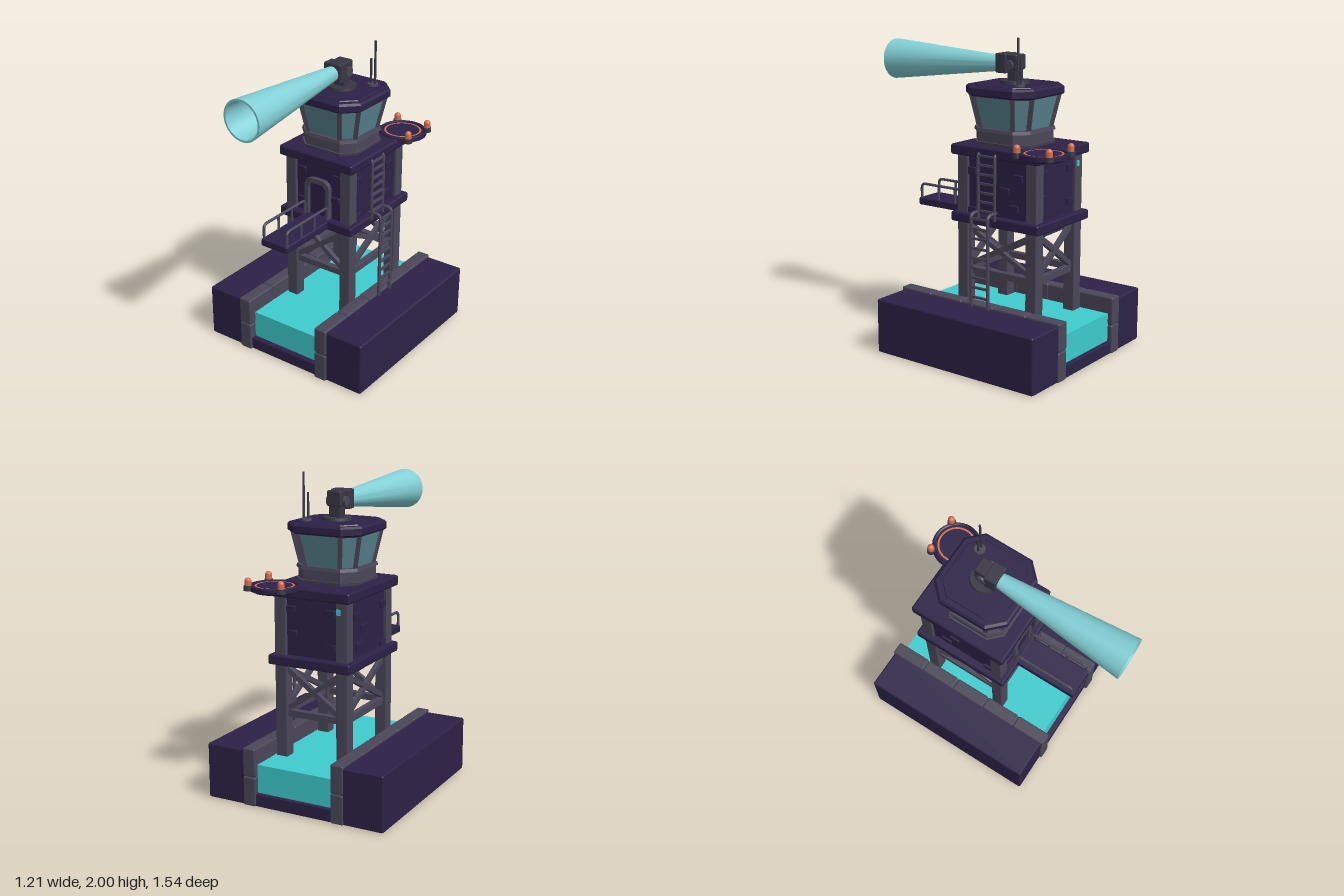
import * as THREE from 'three';
import { toCreasedNormals } from 'three/addons/utils/BufferGeometryUtils.js';
import { RoundedBoxGeometry } from 'three/addons/geometries/RoundedBoxGeometry.js';

const mat = (name, color) => Object.assign(new THREE.MeshStandardMaterial({ color }), { name });

export function createModel() {
  const purple = mat('dark purple', 0x2d2147), grey = mat('slate grey', 0x4b4759);
  const water = mat('water turquoise', 0x3ecccd), beam = mat('pale teal', 0x82d0d6);
  const glass = mat('window glass', 0x5a8692), orange = mat('lamp orange', 0xd4704f);
  const dark = mat('dark metal', 0x393644), under = mat('underside grey', 0x3a3a40);
  const root = new THREE.Group();
  root.name = 'waterTower';

  const add = (name, geo, m, x = 0, y = 0, z = 0) => {
    const mesh = new THREE.Mesh(geo, m);
    mesh.name = name;
    mesh.position.set(x, y, z);
    root.add(mesh);
    return mesh;
  };
  // bevelled box given by its extents
  const box = (name, m, x0, x1, y0, y1, z0, z1, r = 0.008) => add(name,
    r ? new RoundedBoxGeometry(x1 - x0, y1 - y0, z1 - z0, 1, r) : new THREE.BoxGeometry(x1 - x0, y1 - y0, z1 - z0),
    m, (x0 + x1) / 2, (y0 + y1) / 2, (z0 + z1) / 2);
  const cyl = (name, m, r0, r1, y0, y1, x, z, n = 24) =>
    add(name, new THREE.CylinderGeometry(r1, r0, y1 - y0, n), m, x, (y0 + y1) / 2, z);
  // straight beam between two points
  const bar = (name, m, a, b, w, d = w) => {
    const A = new THREE.Vector3(...a), B = new THREE.Vector3(...b), dir = B.clone().sub(A);
    const mesh = add(name, new THREE.BoxGeometry(w, dir.length(), d), m);
    mesh.position.copy(A).add(B).multiplyScalar(0.5);
    mesh.quaternion.setFromUnitVectors(new THREE.Vector3(0, 1, 0), dir.normalize());
    return mesh;
  };
  const tube = (name, m, pts, r) => {
    const path = new THREE.CurvePath();
    const v = pts.map(p => new THREE.Vector3(...p));
    let last = v[0];
    for (let i = 1; i < v.length - 1; i++) { // rounded corners
      const a = v[i].clone().add(v[i - 1].clone().sub(v[i]).setLength(0.03));
      const b = v[i].clone().add(v[i + 1].clone().sub(v[i]).setLength(0.03));
      path.add(new THREE.LineCurve3(last, a));
      path.add(new THREE.QuadraticBezierCurve3(a, v[i], b));
      last = b;
    }
    path.add(new THREE.LineCurve3(last, v[v.length - 1]));
    return add(name, new THREE.TubeGeometry(path, 48, r, 8), m);
  };
  // chamfered square cross-section, ordered counter-clockwise seen from above
  const octagon = (h, c, y) => {
    const k = h - c;
    return [[k, h], [h, k], [h, -k], [k, -h], [-k, -h], [-h, -k], [-h, k], [-k, h]].map(([x, z]) => [x, y, z]);
  };
  // stack of [y, half width, chamfer] sections with caps
  const loft = (name, m, sections, z) => {
    const pos = [], rings = sections.map(([y, h, c]) => octagon(h, c, y));
    const tri = (...p) => p.forEach(q => pos.push(...q));
    for (let s = 0; s < rings.length - 1; s++) for (let i = 0; i < 8; i++) {
      const j = (i + 1) % 8, A = rings[s], B = rings[s + 1];
      tri(A[i], A[j], B[j]);
      tri(A[i], B[j], B[i]);
    }
    const lo = rings[0], hi = rings[rings.length - 1];
    for (let i = 1; i < 7; i++) { tri(hi[0], hi[i], hi[i + 1]); tri(lo[0], lo[i + 1], lo[i]); }
    const g = new THREE.BufferGeometry();
    g.setAttribute('position', new THREE.Float32BufferAttribute(pos, 3));
    g.computeVertexNormals();
    return add(name, g, m, 0, 0, z);
  };

  // canal base
  box('canalFloor', purple, -0.3, 0.3, 0.003, 0.085, -0.76, 0.435);
  box('undersidePanel', under, -0.25, 0.25, 0, 0.008, -0.5, 0.2, 0);
  box('water', water, -0.262, 0.262, 0.08, 0.265, -0.735, 0.40, 0);
  for (const s of [-1, 1]) {
    const x = s * 0.465;
    box('bank', purple, x - 0.138, x + 0.138, 0.002, 0.355, -0.76, 0.437, 0.012);
    const c = s * 0.302, step = 1.225 / 5;
    box('curbCore', grey, c - 0.037, c + 0.037, 0.004, 0.36, -0.76, 0.445, 0);
    for (let i = 0; i < 5; i++) for (const [y0, y1] of [[0.002, 0.188], [0.192, 0.37]])
      box('curbStone', grey, c - 0.043, c + 0.043, y0, y1, -0.77 + i * step + 0.002, -0.77 + (i + 1) * step - 0.002, 0.01);
  }

  // legs and corner pillars
  const zf = 0.025, zb = -0.492;
  for (const x of [-0.21, 0.21]) for (const z of [zf, zb]) {
    box('leg', grey, x - 0.039, x + 0.039, 0.09, 0.87, z - 0.039, z + 0.039, 0.006);
    box('cornerPillar', grey, x - 0.039, x + 0.039, 0.9, 1.29, z - 0.039, z + 0.039, 0.006);
  }
  // cross bracing on four sides
  for (const z of [zf, zb]) {
    bar('crossBeam', grey, [-0.2, 0.543, z], [0.2, 0.543, z], 0.04);
    bar('crossBrace', grey, [-0.19, 0.56, z], [0.19, 0.83, z], 0.032);
    bar('crossBrace', grey, [0.19, 0.56, z], [-0.19, 0.83, z], 0.03);
  }
  for (const x of [-0.21, 0.21]) {
    bar('sideBeam', grey, [x, 0.543, zf], [x, 0.543, zb], 0.04);
    bar('sideBrace', grey, [x, 0.56, zf], [x, 0.83, zb], 0.032);
    bar('sideBrace', grey, [x, 0.56, zb], [x, 0.83, zf], 0.03);
  }

  // main room between two slabs
  box('lowerSlab', purple, -0.28, 0.28, 0.852, 0.915, -0.565, 0.095, 0.012);
  box('room', purple, -0.23, 0.23, 0.9, 1.29, -0.512, 0.045, 0);
  box('upperSlab', purple, -0.28, 0.28, 1.275, 1.342, -0.565, 0.095, 0.014);
  for (const [u, y] of [[-0.13, 1.2], [0.14, 1.2], [-0.13, 0.99], [0.13, 1.05]]) {
    box('frontBrick', purple, u - 0.03, u + 0.03, y - 0.022, y + 0.022, 0.03, 0.058, 0.005);
    box('backBrick', purple, u - 0.03, u + 0.03, y - 0.022, y + 0.022, -0.525, -0.5, 0.005);
  }
  for (const s of [-1, 1]) for (const [z, y] of [[-0.035, 1.18], [-0.29, 1.08], [-0.385, 1.17], [-0.355, 0.98], [-0.04, 0.93]])
    box('sideBrick', purple, s * 0.23 - 0.013, s * 0.23 + 0.013, y - 0.024, y + 0.024, z - 0.035, z + 0.035, 0.005);
  box('backLight', water, -0.205, -0.18, 1.2, 1.235, -0.538, -0.529, 0);

  // arched door
  const arch = (w, top, r) => {
    const s = new THREE.Shape();
    s.moveTo(-w, 0).lineTo(w, 0).lineTo(w, top - r);
    s.quadraticCurveTo(w, top, w - r, top).lineTo(r - w, top);
    s.quadraticCurveTo(-w, top, -w, top - r).lineTo(-w, 0);
    return s;
  };
  const frame = arch(0.095, 0.26, 0.065);
  frame.holes.push(arch(0.066, 0.23, 0.045));
  add('doorFrame', new THREE.ExtrudeGeometry(frame, { depth: 0.035, bevelEnabled: false, curveSegments: 6 }), grey, 0, 0.91, 0.04);
  add('door', new THREE.ExtrudeGeometry(arch(0.07, 0.234, 0.045), { depth: 0.012, bevelEnabled: false }), purple, 0, 0.91, 0.04);

  // balcony with side rails
  box('balcony', purple, -0.1, 0.1, 0.86, 0.91, 0.08, 0.51, 0.01);
  for (const x of [-0.088, 0.088]) {
    tube('balconyRail', grey, [[x, 0.9, 0.492], [x, 1.003, 0.492], [x, 1.003, 0.08], [x, 0.9, 0.08]], 0.009);
    for (const z of [0.35, 0.215]) cyl('railPost', grey, 0.008, 0.008, 0.9, 1.0, x, z, 8);
  }

  // two ladders on the left side
  for (const z of [-0.125, -0.25]) {
    tube('lowerLadderRail', grey, [[0.27, 0.945, z], [0.355, 0.945, z], [0.355, 0.35, z]], 0.011);
    tube('upperLadderRail', grey, [[0.23, 1.31, z], [0.285, 1.31, z], [0.285, 0.9, z]], 0.01);
  }
  for (let i = 0; i < 9; i++) bar('lowerRung', grey, [0.355, 0.42 + i * 0.062, -0.12], [0.355, 0.42 + i * 0.062, -0.255], 0.014);
  for (let i = 0; i < 7; i++) bar('upperRung', grey, [0.285, 0.95 + i * 0.057, -0.125], [0.285, 0.95 + i * 0.057, -0.25], 0.014);

  // control cabin
  const cz = -0.193;
  loft('cabinBase', grey, [[1.335, 0.205, 0.075], [1.36, 0.21, 0.077], [1.36, 0.2, 0.073], [1.425, 0.2, 0.073], [1.425, 0.212, 0.077], [1.445, 0.207, 0.075]], cz);
  loft('cabinWindows', glass, [[1.44, 0.183, 0.067], [1.65, 0.226, 0.083]], cz);
  const lo = octagon(0.186, 0.068, 1.44), hi = octagon(0.229, 0.084, 1.65);
  lo.forEach((p, i) => {
    const q = hi[i], at = ([x, y, z]) => [x, y, z + cz];
    const mullion = bar('windowMullion', grey, at(p), at(q), 0.026);
    mullion.rotateY(Math.PI / 8);
    bar('windowHeader', grey, at(q), at(hi[(i + 1) % 8]), 0.022);
  });
  loft('cabinRoof', purple, [[1.642, 0.243, 0.09], [1.652, 0.255, 0.094], [1.69, 0.255, 0.094], [1.702, 0.243, 0.09]], cz);
  loft('roofPanel', purple, [[1.7, 0.215, 0.08], [1.708, 0.21, 0.078]], cz);

  // horn mount
  cyl('mountBase', dark, 0.095, 0.09, 1.7, 1.725, 0, cz, 28);
  box('mountPost', dark, -0.04, 0.04, 1.72, 1.81, cz - 0.035, cz + 0.035, 0.008);
  box('hornHousing', dark, -0.062, 0.062, 1.768, 1.888, -0.165, -0.085, 0.008);
  box('hornBack', dark, -0.05, 0.05, 1.79, 1.885, -0.238, -0.15, 0.01);
  const pivot = cyl('pivot', grey, 0.032, 0.032, -0.065, 0.065, 0, -0.185, 16);
  pivot.rotation.z = Math.PI / 2;
  pivot.position.y = 1.82;
  // flared horn, axis turned to the front and tipped slightly down
  const profile = [[0.048, 0], [0.13, 0.855], [0.117, 0.855], [0.095, 0.58]].map(p => new THREE.Vector2(...p));
  const horn = add('horn', toCreasedNormals(new THREE.LatheGeometry(profile, 40), 0.6), beam, 0, 1.822, -0.086);
  horn.rotation.x = Math.PI / 2 + 0.03;
  const lens = new THREE.Mesh(new THREE.CircleGeometry(0.097, 40), glass);
  lens.name = 'hornLens';
  lens.rotation.x = -Math.PI / 2;
  lens.position.y = 0.582;
  horn.add(lens);

  // antennas
  cyl('antennaBase', grey, 0.036, 0.034, 1.7, 1.722, 0.14, -0.325, 20);
  cyl('tallAntenna', dark, 0.008, 0.007, 1.71, 2, 0.156, -0.325, 8);
  cyl('shortAntenna', dark, 0.008, 0.007, 1.71, 1.88, 0.126, -0.325, 8);

  // landing pad with lamps
  const px = 0.222, pz = -0.563;
  cyl('padUnderside', purple, 0.125, 0.152, 1.308, 1.322, px, pz, 36);
  cyl('pad', purple, 0.154, 0.154, 1.322, 1.343, px, pz, 36);
  const rim = add('padRim', new THREE.TorusGeometry(0.143, 0.011, 6, 36), purple, px, 1.343, pz);
  rim.rotation.x = -Math.PI / 2;
  const ring = add('padRing', new THREE.RingGeometry(0.108, 0.12, 40), orange, px, 1.347, pz);
  ring.rotation.x = -Math.PI / 2;
  for (const [x, z] of [[-1, -1], [1, -1], [1, 1]]) {
    const lx = px + x * 0.114, lz = pz + z * 0.114;
    cyl('lampBase', dark, 0.028, 0.026, 1.325, 1.355, lx, lz, 16);
    cyl('lamp', orange, 0.021, 0.021, 1.35, 1.382, lx, lz, 16);
    add('lampDome', new THREE.SphereGeometry(0.021, 16, 8, 0, Math.PI * 2, 0, Math.PI / 2), orange, lx, 1.382, lz);
  }
  return root;
}
